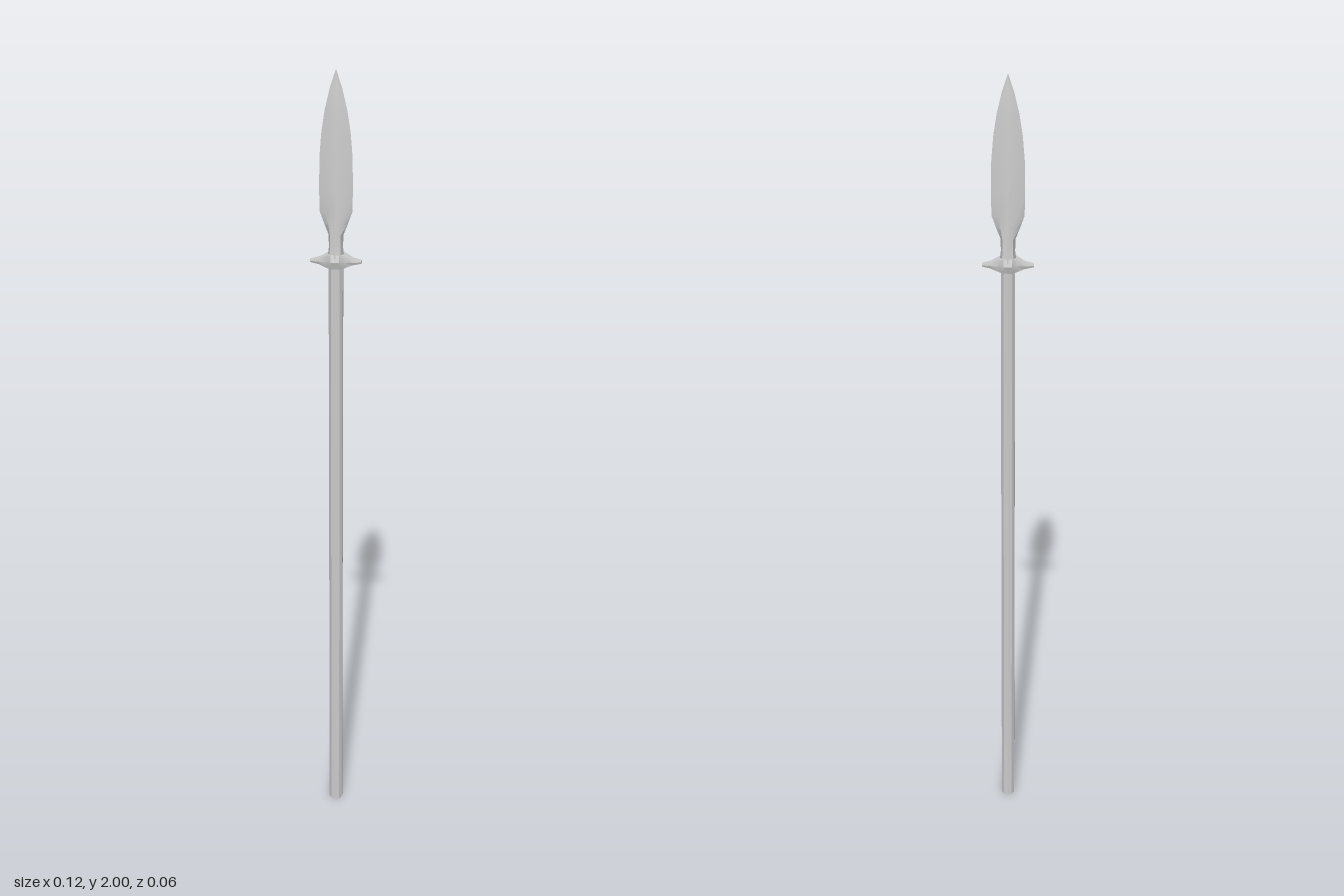
import * as THREE from 'three';
import { toCreasedNormals } from 'three/addons/utils/BufferGeometryUtils.js';

const material = new THREE.MeshStandardMaterial({ color: 0xcccccc });

// Skin a list of equal-length point loops and cap both ends
function loft(rings) {
  const n = rings[0].length;
  const positions = rings.flat(2);
  const index = [];
  for (let r = 0; r < rings.length - 1; r++) {
    for (let i = 0; i < n; i++) {
      const a = r * n + i, b = r * n + (i + 1) % n;
      index.push(a, b, b + n, a, b + n, a + n);
    }
  }
  const last = (rings.length - 1) * n;
  for (let i = 1; i < n - 1; i++) {
    index.push(0, i + 1, i, last, last + i, last + i + 1);
  }
  const geometry = new THREE.BufferGeometry();
  geometry.setAttribute('position', new THREE.Float32BufferAttribute(positions, 3));
  geometry.setIndex(index);
  return toCreasedNormals(geometry, 0.5);
}

function addPart(group, name, geometry) {
  const mesh = new THREE.Mesh(geometry, material);
  mesh.name = name;
  group.add(mesh);
  return mesh;
}

export function createModel() {
  const group = new THREE.Group();
  group.name = 'spear';

  // Straight faceted pole
  const shaft = new THREE.CylinderGeometry(0.018, 0.018, 1.55, 10);
  addPart(group, 'shaft', toCreasedNormals(shaft, 0.4)).position.y = 0.775;

  // Socket and leaf blade: height, half width, half thickness, lens fullness
  const sections = [
    [1.56, 0.02, 0.027, 0.72],
    [1.585, 0.017, 0.022, 0.72],
    [1.615, 0.018, 0.019, 0.7],
    [1.64, 0.028, 0.016, 0.62],
    [1.67, 0.039, 0.0145, 0.57],
    [1.72, 0.04, 0.013, 0.55],
    [1.8, 0.039, 0.0105, 0.55],
    [1.86, 0.034, 0.0085, 0.55],
    [1.91, 0.026, 0.0065, 0.55],
    [1.96, 0.014, 0.004, 0.55],
    [2.0, 0.0005, 0.0005, 0.55],
  ];
  const blade = sections.map(([y, w, t, k]) => [
    [w, y, 0], [w * k, y, -t * k], [0, y, -t], [-w * k, y, -t * k],
    [-w, y, 0], [-w * k, y, t * k], [0, y, t], [w * k, y, t * k],
  ]);
  addPart(group, 'blade', loft(blade));

  // Winged guard: x, half depth, underside, top
  const half = [
    [0.062, 0.006, 1.546, 1.553],
    [0.04, 0.013, 1.543, 1.557],
    [0.021, 0.019, 1.536, 1.567],
    [0.01, 0.028, 1.535, 1.57],
  ];
  const mirrored = half.map(([x, ...rest]) => [-x, ...rest]);
  const guard = [...mirrored, ...half.reverse()].map(([x, d, low, high]) => {
    const mid = (low + high) / 2;
    return [
      [x, low, d * 0.8], [x, low, -d * 0.8], [x, mid, -d],
      [x, high, -d * 0.85], [x, high, d * 0.85], [x, mid, d],
    ];
  });
  // Loops run along +x, so they are ordered to face outward
  addPart(group, 'guard', loft(guard));

  return group;
}
